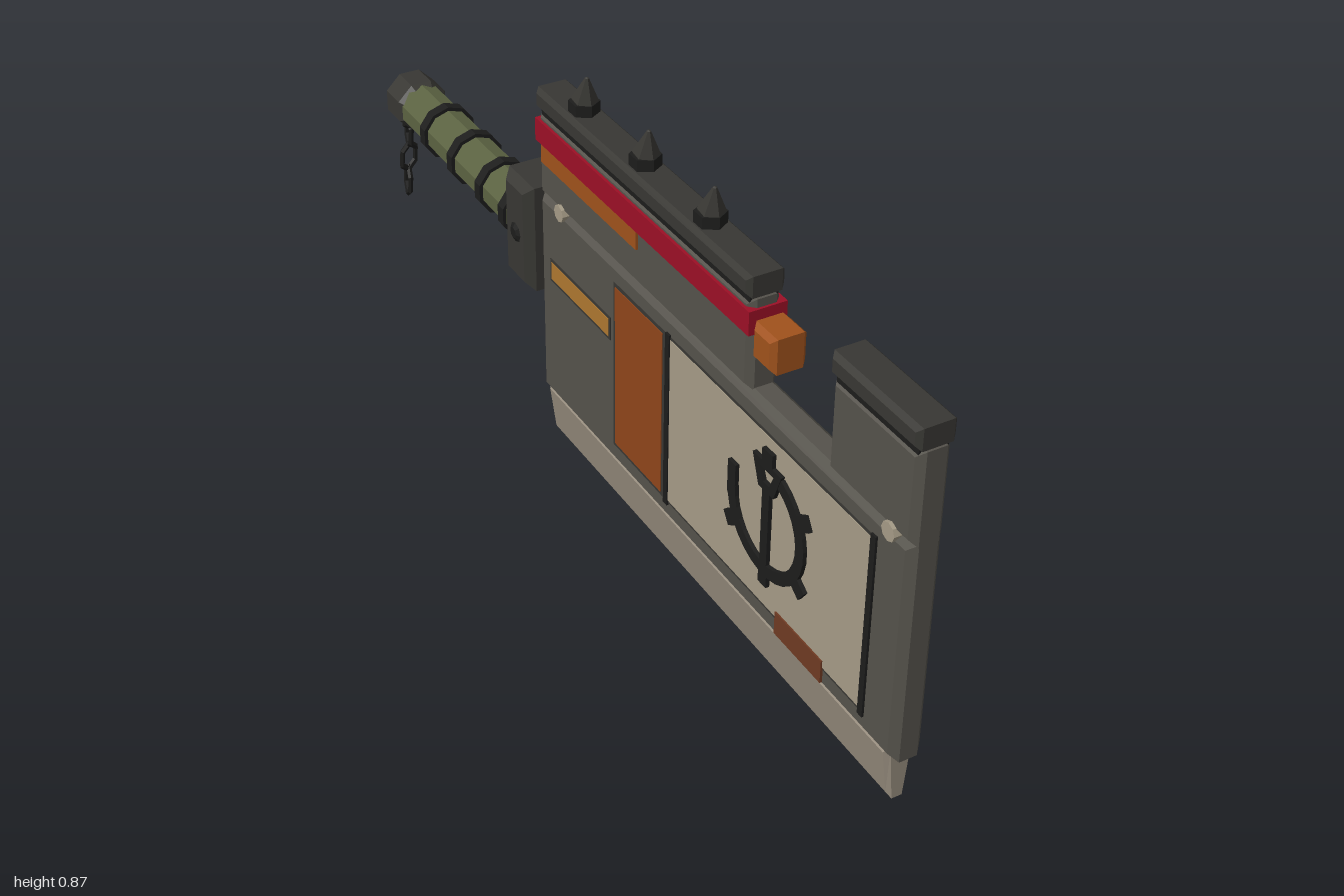
import * as THREE from 'three';

const CX = -0.0105; // middle plane of the blade
const mat = (color) => new THREE.MeshStandardMaterial({ color, flatShading: true });
const M = {
  steel: mat(0x55524b), dark: mat(0x383733), black: mat(0x1d1d1c), pale: mat(0xa59b86),
  edge: mat(0x958b7c), orange: mat(0x8f451a), copper: mat(0xa0521c), rust: mat(0x6f3a22),
  red: mat(0x9c1026), yellow: mat(0xae7730), green: mat(0x5c6342),
};

export function createModel() {
  const model = new THREE.Group();

  const add = (name, geo, material, x = 0, y = 0, z = 0, parent = model) => {
    const mesh = new THREE.Mesh(geo, material);
    mesh.name = name;
    mesh.position.set(x, y, z);
    parent.add(mesh);
    return mesh;
  };

  // Slab spanning z0..z1, y0..y1, with its side faces chamfered by b
  const slabGeo = (w, h, half, b) => {
    const s = new THREE.Shape();
    const a = w / 2 - b, c = h / 2 - b;
    s.moveTo(-a, -c).lineTo(a, -c).lineTo(a, c).lineTo(-a, c).closePath();
    const g = new THREE.ExtrudeGeometry(s, {
      depth: 2 * (half - b), bevelThickness: b, bevelSize: b, bevelSegments: 1,
    });
    return g.translate(0, 0, b - half).rotateY(Math.PI / 2);
  };
  const slab = (name, material, z0, z1, y0, y1, half, b = 0.01) =>
    add(name, slabGeo(z1 - z0, y1 - y0, half, b), material, CX, (y0 + y1) / 2, (z0 + z1) / 2);
  const plate = (name, material, z0, z1, y0, y1, half) =>
    add(name, new THREE.BoxGeometry(half * 2, y1 - y0, z1 - z0), material, CX, (y0 + y1) / 2, (z0 + z1) / 2);

  // Main slab and tapered cutting edge
  slab('bladeBody', M.steel, -0.25, 1, 0.108, 0.57, 0.033, 0.015);
  const edge = slabGeo(1.215, 0.118, 0.031, 0.01);
  const p = edge.attributes.position;
  for (let i = 0; i < p.count; i++) {
    const t = (p.getY(i) + 0.059) / 0.118;
    p.setX(i, p.getX(i) * (0.5 + 0.5 * t));
  }
  edge.computeVertexNormals();
  add('cuttingEdge', edge, M.edge, CX, 0.062, 0.372);

  // Upper blocks with caps
  for (const [name, z0, z1] of [['front', 0.76, 1], ['rear', -0.25, 0.52]]) {
    slab(name + 'UpperBlock', M.steel, z0, z1, 0.565, 0.75, 0.032, 0.013);
    plate(name + 'Seam', M.black, z0 + 0.01, z1 - 0.01, 0.74, 0.765, 0.028);
    slab(name + 'Cap', M.dark, z0, z1, 0.754, 0.797, 0.038, 0.009);
  }
  plate('redStripe', M.red, -0.25, 0.525, 0.685, 0.733, 0.038);
  plate('copperStrip', M.copper, -0.23, 0.14, 0.645, 0.686, 0.0365);
  slab('frontKnob', M.copper, 0.53, 0.597, 0.645, 0.716, 0.036, 0.01);
  plate('knobPin', M.dark, 0.51, 0.54, 0.665, 0.695, 0.015);

  // Spikes along the rear cap
  for (const z of [0.335, 0.11, -0.12]) {
    const spike = new THREE.Group();
    spike.name = 'spike';
    spike.position.set(CX, 0.79, z);
    add('spikeBase', new THREE.CylinderGeometry(0.03, 0.03, 0.032, 6), M.black, 0, 0.014, 0, spike);
    const tip = new THREE.LatheGeometry(
      [[0.019, 0], [0.026, 0.014], [0.004, 0.062], [0, 0.064]].map(([r, y]) => new THREE.Vector2(r, y)), 6);
    add('spikeTip', tip, M.dark, 0, 0.02, 0, spike).rotation.x = 0.18;
    model.add(spike);
  }

  // Side panels and trims, shown on both faces
  plate('palePanel', M.pale, 0.262, 0.9, 0.158, 0.522, 0.035);
  plate('orangePanel', M.orange, 0.06, 0.236, 0.16, 0.52, 0.0355);
  plate('panelFrame', M.dark, 0.052, 0.91, 0.152, 0.528, 0.0338);
  plate('frontPanelBar', M.black, 0.9, 0.914, 0.147, 0.532, 0.0375);
  plate('rearPanelBar', M.black, 0.25, 0.264, 0.147, 0.532, 0.0375);
  plate('yellowBar', M.yellow, -0.198, 0.034, 0.395, 0.434, 0.0355);
  plate('yellowBarFrame', M.dark, -0.204, 0.04, 0.389, 0.44, 0.0345);
  plate('rustPatch', M.rust, 0.643, 0.79, 0.124, 0.173, 0.038);
  for (const z of [0.945, -0.157]) {
    add('cornerBolt', new THREE.CylinderGeometry(0.018, 0.018, 0.078, 8).rotateZ(Math.PI / 2), M.pale, CX, 0.567, z);
  }

  // Open cog relief on both faces; u runs along -z, v along y
  const arcShape = new THREE.Shape();
  arcShape.absarc(0, 0, 0.122, 1.95, 2 * Math.PI + 0.05, false);
  arcShape.absarc(0, 0, 0.097, 2 * Math.PI + 0.05, 1.95, true);
  const crown = new THREE.Shape([[-0.045, 0.118], [0.045, 0.118], [0.024, 0.06], [-0.024, 0.06]]
    .map(([u, v]) => new THREE.Vector2(u, v)));
  crown.holes.push(new THREE.Path([[-0.022, 0.104], [-0.01, 0.076], [0.01, 0.076], [0.022, 0.104]]
    .map(([u, v]) => new THREE.Vector2(u, v))));
  const relief = (s) => new THREE.ExtrudeGeometry(s, { depth: 0.01, bevelEnabled: false, curveSegments: 10 });
  for (const side of [1, -1]) {
    const cog = new THREE.Group();
    cog.name = 'cogRelief';
    cog.position.set(CX + side * 0.033, 0.355, 0.605);
    const inner = new THREE.Group();
    // Same layout on each face: ring front and opening stay at the same z
    inner.rotation.y = Math.PI / 2;
    if (side < 0) inner.position.x = -0.01;
    add('cogRing', relief(arcShape), M.black, 0, 0, 0, inner);
    add('cogCrown', relief(crown), M.black, 0, 0, 0, inner);
    const bar = (u, v, w, h, a = 0) =>
      add('cogBar', new THREE.BoxGeometry(w, h, 0.01), M.black, u, v, 0.005, inner).rotation.z = a;
    bar(0, -0.03, 0.022, 0.21);
    bar(0, 0.127, 0.032, 0.036);
    bar(0, -0.125, 0.026, 0.04);
    bar(0.11, 0.015, 0.025, 0.07);
    for (const a of [2.6, 3.75, 5.7]) bar(0.127 * Math.cos(a), 0.127 * Math.sin(a), 0.042, 0.03, a);
    cog.add(inner);
    model.add(cog);
  }

  // Guard with bolts, medallion and a small stud on the far side
  slab('guard', M.dark, -0.365, -0.258, 0.333, 0.57, 0.057, 0.018);
  const disc = (name, r0, r1, len, sides, material, x, y) =>
    add(name, new THREE.CylinderGeometry(r1, r0, len, sides).rotateZ(-Math.PI / 2), material, x, y, -0.31);
  for (const y of [0.375, 0.525]) disc('guardBolt', 0.018, 0.015, 0.012, 8, M.black, 0.05, y);
  disc('medallionBase', 0.05, 0.044, 0.014, 8, M.black, 0.053, 0.45);
  disc('medallion', 0.041, 0.036, 0.014, 10, M.copper, 0.064, 0.45);
  disc('guardStud', 0.012, 0.026, 0.008, 8, M.black, -0.069, 0.45);

  // Handle, binding rings and pommel along -z
  const along = (name, r, z0, z1, sides, material) =>
    add(name, new THREE.CylinderGeometry(r, r, z1 - z0, sides).rotateX(Math.PI / 2), material, CX, 0.455, (z0 + z1) / 2);
  along('grip', 0.053, -0.87, -0.36, 10, M.green);
  for (const z of [-0.375, -0.482, -0.615, -0.748]) along('gripRing', 0.061, z - 0.012, z + 0.012, 10, M.black);
  const pommel = new THREE.LatheGeometry(
    [[0, -0.05], [0.045, -0.05], [0.06, -0.035], [0.06, 0.027], [0.05, 0.042], [0, 0.042]]
      .map(([r, y]) => new THREE.Vector2(r, y)), 8, Math.PI / 8);
  add('pommel', pommel.rotateX(Math.PI / 2), M.dark, CX, 0.455, -0.902);

  // Hanging chain of alternating six-sided links
  const link = new THREE.TorusGeometry(0.022, 0.006, 5, 6).rotateZ(Math.PI / 6).scale(1, 1.65, 1);
  [[0.405, -0.938], [0.352, -0.957], [0.285, -0.966], [0.218, -0.976]].forEach(([y, z], i) => {
    const l = add('chainLink', link, M.black, CX, y, z);
    l.rotation.set(0.15, i % 2 ? Math.PI / 2 - 0.2 : 0.25, 0);
  });

  return model;
}
